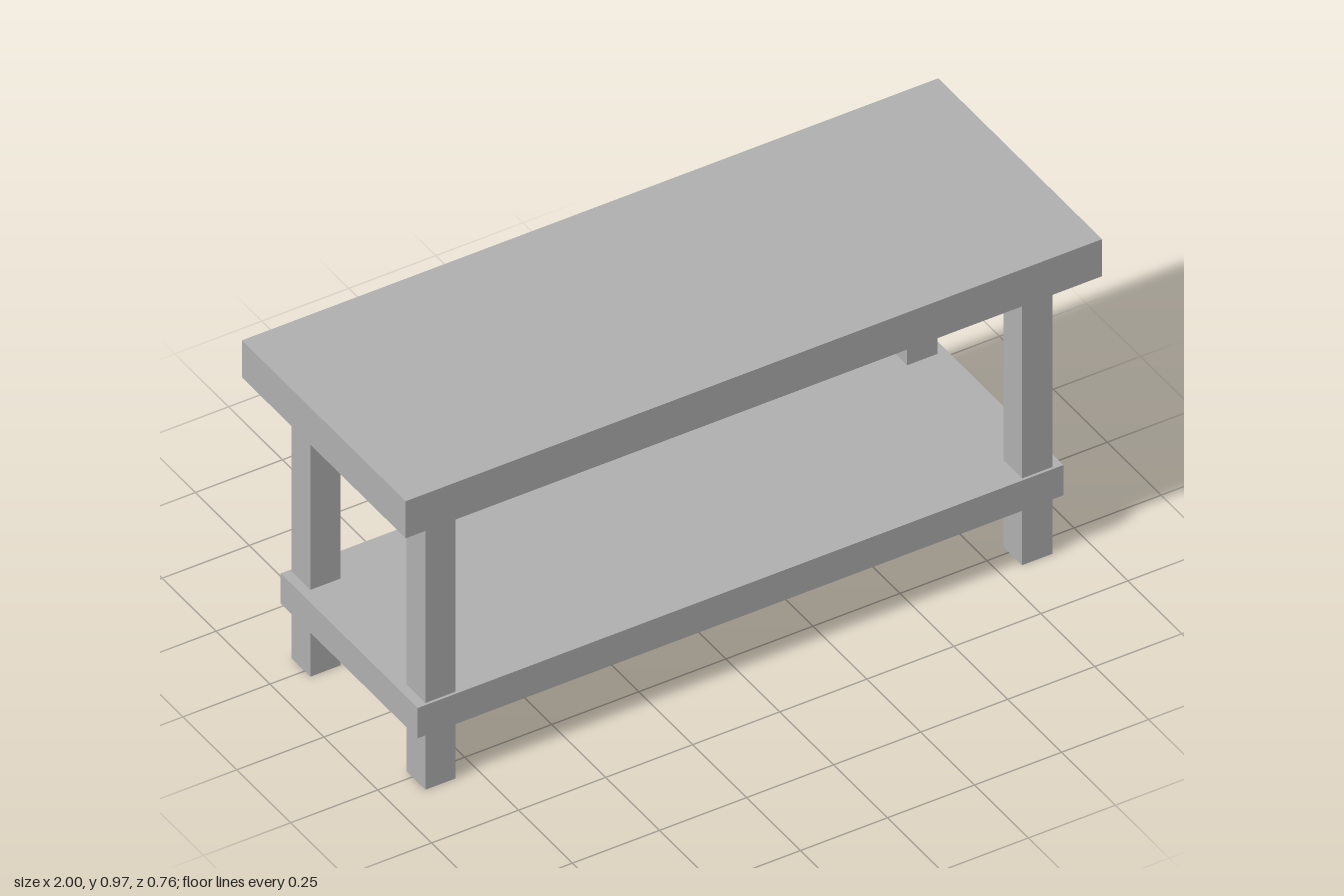
import * as THREE from 'three';

export function createModel() {
  const group = new THREE.Group();
  const grey = new THREE.MeshStandardMaterial({ color: 0xb0b0b0 });
  grey.name = 'plain grey';

  // Box standing on height y
  function addBox(name, w, h, d, x, y, z) {
    const mesh = new THREE.Mesh(new THREE.BoxGeometry(w, h, d), grey);
    mesh.name = name;
    mesh.position.set(x, y + h / 2, z);
    group.add(mesh);
  }

  // Table top and lower shelf
  addBox('tableTop', 2, 0.114, 0.76, 0, 0.859, 0);
  addBox('lowerShelf', 1.854, 0.093, 0.636, 0, 0.174, 0);

  // Four square legs, passing through the shelf corners
  for (const [side, sx] of [['Left', 1], ['Right', -1]]) {
    for (const [end, sz] of [['front', 1], ['back', -1]]) {
      addBox(`${end}${side}Leg`, 0.087, 0.859, 0.087, sx * 0.857, 0, sz * 0.267);
    }
  }
  return group;
}
